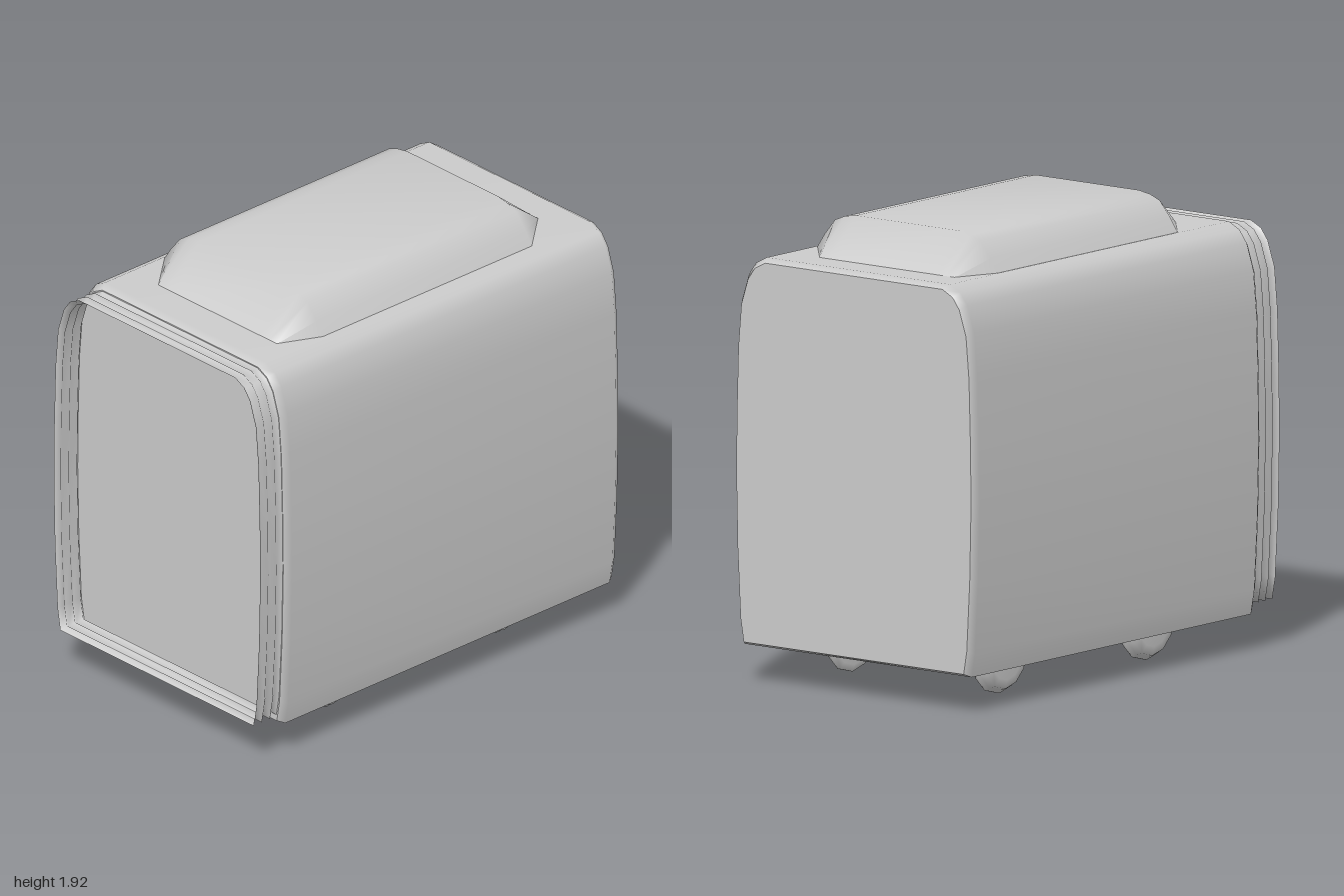
import * as THREE from 'three';

const grey = new THREE.MeshStandardMaterial({ color: 0xcccccc, side: THREE.DoubleSide });
grey.name = 'plain grey';

// Right half of the carriage cross-section, from floor to roof
const half = [
  [0.595, 0.152], [0.612, 0.25], [0.628, 0.55], [0.635, 0.87], [0.632, 1.12], [0.624, 1.4],
  [0.608, 1.58], [0.572, 1.69], [0.535, 1.74], [0.48, 1.768],
];
const profile = [...half, ...half.map(([x, y]) => [-x, y]).reverse()];
const BOTTOM = 0.152, TOP = 1.768;

// Cross-section squeezed to a new width, bottom and top
function section(inset, bottom, top) {
  const sx = 1 - inset / 0.635;
  return profile.map(([x, y]) => [x * sx, bottom + (y - BOTTOM) / (TOP - BOTTOM) * (top - bottom)]);
}

// Skin stretched over rows of points; rows run from back to front
function loft(rows) {
  const n = rows[0].length, index = [];
  for (let i = 0; i < rows.length - 1; i++) {
    for (let j = 0; j < n - 1; j++) {
      const a = i * n + j, b = a + 1, c = b + n, d = a + n;
      index.push(a, b, c, a, c, d);
    }
  }
  const g = new THREE.BufferGeometry();
  g.setAttribute('position', new THREE.Float32BufferAttribute(rows.flat(2), 3));
  g.setIndex(index);
  g.computeVertexNormals();
  return g;
}

const atZ = (pts, z) => pts.map(([x, y]) => [x, y, z]);

export function createModel() {
  const model = new THREE.Group();
  model.name = 'railCarriage';
  const add = (name, geometry, parent = model) => {
    const mesh = new THREE.Mesh(geometry, grey);
    mesh.name = name;
    parent.add(mesh);
    return mesh;
  };

  // Body shell with a small bevel at each end
  const small = section(0.02, BOTTOM + 0.014, TOP - 0.018);
  const full = section(0, BOTTOM, TOP);
  const bodyRows = [atZ(small, -1), atZ(full, -0.97), atZ(full, 0.84), atZ(small, 0.87)];
  add('bodyShell', loft(bodyRows));
  add('floor', loft(bodyRows.map(r => [r[r.length - 1], r[0]])));

  // Flat end walls
  const wall = new THREE.ShapeGeometry(new THREE.Shape(small.map(([x, y]) => new THREE.Vector2(x, y))));
  add('frontWall', wall).position.z = 0.87;
  const back = add('backWall', wall);
  back.position.z = -1;
  back.rotation.y = Math.PI;

  // Folded gangway bellows, open at the front
  const folds = [];
  for (let i = 0; i <= 6; i++) {
    const d = i % 2 ? 0.037 : 0.019;
    const ring = section(d, 0.17 + d, TOP - d);
    folds.push(atZ([...ring, ring[0]], 0.865 + i * 0.0225));
  }
  add('gangwayBellows', loft(folds));

  // Roof unit: arched top with sloping, tapered ends
  const arch = [[0.475, 1.765], [0.435, 1.825], [0.38, 1.89], [0.33, 1.91], [0.27, 1.92]];
  const roof = [...arch, ...arch.map(([x, y]) => [-x, y]).reverse()];
  const foot = (l, r) => roof.map(([x]) => [
    THREE.MathUtils.mapLinear(THREE.MathUtils.clamp(x, -0.38, 0.38), -0.38, 0.38, l, r), 1.765]);
  add('roofUnit', loft([
    atZ(foot(-0.395, 0.31), -0.84), atZ(roof, -0.65), atZ(roof, 0.515), atZ(foot(-0.315, 0.39), 0.7),
  ]));

  // Underframe plate
  add('underframe', new THREE.BoxGeometry(0.96, 0.012, 1.5)).position.set(0, 0.152, -0.06);

  // Two axles with flanged wheels
  const wheelProfile = [[0, 0.035], [0.1, 0.035], [0.138, 0.026], [0.146, 0], [0.16, -0.006],
    [0.16, -0.02], [0.13, -0.03], [0, -0.03]].map(([r, y]) => new THREE.Vector2(r, -y));
  const wheelGeo = new THREE.LatheGeometry(wheelProfile, 12);
  for (const z of [0.415, -0.54]) {
    const set = new THREE.Group();
    set.name = z > 0 ? 'frontWheelset' : 'rearWheelset';
    set.position.set(0, 0.16, z);
    model.add(set);
    add('axle', new THREE.CylinderGeometry(0.024, 0.024, 0.76, 10), set).rotation.z = Math.PI / 2;
    for (const s of [1, -1]) {
      const wheel = add(s > 0 ? 'leftWheel' : 'rightWheel', wheelGeo, set);
      wheel.position.x = s * 0.398;
      wheel.rotation.z = s * Math.PI / 2;
    }
  }
  return model;
}
